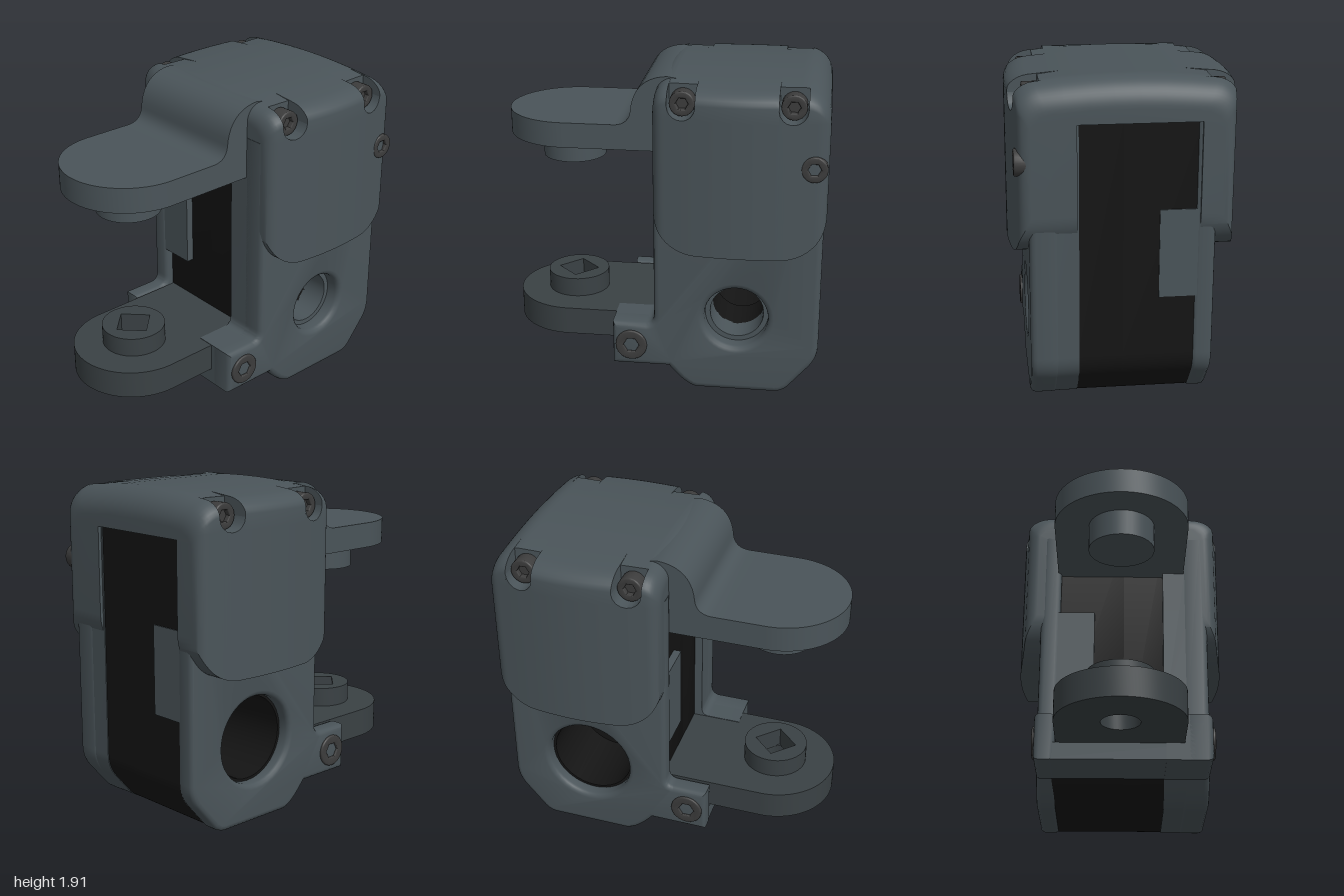
import * as THREE from 'three';
import { toCreasedNormals } from 'three/addons/utils/BufferGeometryUtils.js';

const shell = new THREE.MeshStandardMaterial({ color: 0x4a5459 });
const dark = new THREE.MeshStandardMaterial({ color: 0x141414 });
const lower = new THREE.MeshStandardMaterial({ color: 0x3a4144 });
const steel = new THREE.MeshStandardMaterial({ color: 0x3c3c3c });

function circle(x, y, r, seg = 40) {
  const pts = [];
  for (let i = 0; i < seg; i++) {
    const t = (i / seg) * Math.PI * 2;
    pts.push(new THREE.Vector2(x + r * Math.cos(t), y + r * Math.sin(t)));
  }
  return pts;
}

// Side profile (z, y) extruded across x from x0 to x1
function across(shape, x0, x1, bevel = 0) {
  const g = new THREE.ExtrudeGeometry(shape, {
    depth: x1 - x0 - 2 * bevel, bevelEnabled: bevel > 0, bevelSize: bevel,
    bevelThickness: bevel, bevelOffset: -bevel, bevelSegments: 3, curveSegments: 10,
  });
  g.rotateY(-Math.PI / 2);
  g.translate(x1 - bevel, 0, 0);
  return toCreasedNormals(g, 0.6);
}

// Plan shape (x, -z) extruded upwards from y0 to y1
function upward(shape, y0, y1) {
  const g = new THREE.ExtrudeGeometry(shape, { depth: y1 - y0, bevelEnabled: false, curveSegments: 32 });
  g.rotateX(-Math.PI / 2);
  g.translate(0, y0, 0);
  return toCreasedNormals(g, 0.6);
}

function tabShape(r, zc, zBack) {
  const s = new THREE.Shape();
  s.moveTo(r, -zBack);
  s.lineTo(-r, -zBack);
  s.lineTo(-r, -zc);
  s.absarc(0, -zc, r, Math.PI, Math.PI * 2, false);
  return s;
}

// Body profile; the side plates also carry the front flange
function bodyShape(holeR, flange, inset = 0) {
  const s = new THREE.Shape();
  const back = -0.89 + inset;
  s.moveTo(back, 1.7);
  s.lineTo(back, 0.32);
  s.quadraticCurveTo(back, 0.24, -0.84 + inset, 0.18);
  s.lineTo(-0.73, 0.05 + inset);
  s.quadraticCurveTo(-0.69, inset, -0.63, inset);
  s.lineTo(-0.17, inset);
  s.quadraticCurveTo(-0.1, 0.01 + inset, 0, 0.135);
  if (flange) {
    s.lineTo(0.34, 0.135);
    s.lineTo(0.34, 0.41);
    s.lineTo(0.14, 0.41);
    s.quadraticCurveTo(0.09, 0.41, 0.09, 0.47);
    s.lineTo(0.09, 1.7);
  } else {
    s.lineTo(0.04, 0.2);
    s.lineTo(0.04, 1.7);
  }
  s.holes.push(new THREE.Path(circle(-0.4, 0.48, holeR)));
  return s;
}

// Curved cap: inverted U sections lofted from back to front
const Z0 = -0.905, Z1 = 0.088, POCKETS = [-0.7, -0.08], PR = 0.08;
const drop = (d, r) => (d >= r ? 0 : r - Math.sqrt(Math.max(0, r * r - (r - d) ** 2)));

function capSection(z) {
  const dBack = z - Z0, dFront = Z1 - z, d = Math.min(dBack, dFront);
  const hw = 0.575 + 0.06 * Math.sin(Math.PI * dBack / (Z1 - Z0)) - drop(d, 0.06);
  const top = 1.91 - drop(dBack, 0.16) - drop(dFront, 0.1);
  const yb = 0.91 + drop(d, 0.25), rc = 0.11;
  const p = POCKETS.find((c) => Math.abs(z - c) < PR);
  const cut = p !== undefined;
  const level = cut ? 1.79 - Math.sqrt(PR * PR - (z - p) ** 2) : Math.min(1.715, top - rc);
  const lim = cut ? 0.46 : 9;
  const half = [[hw, yb], [hw, level], [Math.min(hw, lim), level]];
  for (let i = 0; i <= 6; i++) {
    const t = (i / 6) * Math.PI / 2;
    const x = hw - rc + rc * Math.cos(t);
    half.push([Math.min(x, lim), top - rc + rc * Math.sin(t) - 0.04 * (x / 0.6) ** 2 * Math.sin(t)]);
  }
  for (const x of [0.34, 0.2, 0.07]) half.push([x, top - 0.04 * (x / 0.6) ** 2]);
  const left = half.map(([x, y]) => [-x, y]).reverse();
  return [...half, ...left, [-0.4, yb], [-0.4, 1.67], [0.27, 1.67], [0.27, yb]];
}

function capGeometry() {
  const zs = [];
  for (let i = 0; i <= 48; i++) zs.push((Z0 + Z1) / 2 - (Z1 - Z0) / 2 * Math.cos(Math.PI * i / 48));
  for (const c of POCKETS) {
    for (let i = -4; i <= 4; i++) zs.push(c + PR * 0.999 * Math.sin(i * Math.PI / 8));
    zs.push(c - PR * 1.001, c + PR * 1.001);
  }
  zs.sort((a, b) => a - b);
  const secs = zs.map(capSection), n = secs[0].length, pos = [], idx = [];
  secs.forEach((s, k) => s.forEach(([x, y]) => pos.push(x, y, zs[k])));
  for (let k = 0; k < zs.length - 1; k++) {
    for (let i = 0; i < n; i++) {
      const a = k * n + i, b = k * n + (i + 1) % n;
      idx.push(a, b, b + n, a, b + n, a + n);
    }
  }
  const last = (zs.length - 1) * n;
  const ends = THREE.ShapeUtils.triangulateShape(secs[0].map(([x, y]) => new THREE.Vector2(x, y)), []);
  for (const [a, b, c] of ends) idx.push(c, b, a, last + a, last + b, last + c);
  const g = new THREE.BufferGeometry();
  g.setAttribute('position', new THREE.Float32BufferAttribute(pos, 3));
  g.setIndex(idx);
  return toCreasedNormals(g, 0.5);
}

export function createModel() {
  const model = new THREE.Group();
  const unit = new THREE.Group();
  unit.name = 'hingeUnit';
  unit.position.x = -0.08;
  const turned = new THREE.Group();
  turned.rotation.y = -Math.PI / 18;
  turned.add(unit);
  model.add(turned);

  const add = (name, geo, mat, parent = unit) => {
    const m = new THREE.Mesh(geo, mat);
    m.name = name;
    parent.add(m);
    return m;
  };
  const box = (name, x0, x1, y0, y1, z0, z1, mat) =>
    add(name, new THREE.BoxGeometry(x1 - x0, y1 - y0, z1 - z0), mat)
      .position.set((x0 + x1) / 2, (y0 + y1) / 2, (z0 + z1) / 2);

  // Housing: side plates around a dark core
  add('rightFacePlate', across(bodyShape(0.19, true), 0.36, 0.53, 0.035), shell);
  add('rightInnerPlate', across(bodyShape(0.16, true, 0.004), 0.26, 0.43), shell);
  add('leftFacePlate', across(bodyShape(0.26, true), -0.49, -0.37, 0.03), shell);
  add('coreWideBore', across(bodyShape(0.245, false, 0.008), -0.41, 0.02), dark);
  add('coreNarrowBore', across(bodyShape(0.16, false, 0.008), 0.02, 0.27), dark);
  box('frontLatch', -0.4, -0.16, 0.67, 1.18, 0, 0.085, shell);
  box('backLatch', -0.4, -0.18, 0.67, 1.18, -0.888, -0.8, shell);

  // Cap with hood and upper tab
  add('cap', capGeometry(), shell);
  const hood = new THREE.Shape();
  hood.moveTo(-0.1, 1.455);
  hood.lineTo(0.4, 1.455);
  hood.lineTo(0.4, 1.605);
  hood.lineTo(0.33, 1.605);
  hood.quadraticCurveTo(0.245, 1.61, 0.235, 1.69);
  hood.bezierCurveTo(0.225, 1.82, 0.15, 1.895, 0.02, 1.9);
  hood.lineTo(-0.1, 1.88);
  add('hood', across(hood, -0.39, 0.39), shell);
  add('upperTab', upward(tabShape(0.39, 0.634, 0.35), 1.455, 1.605), shell);
  add('upperBoss', new THREE.CylinderGeometry(0.19, 0.19, 0.16, 40), shell).position.set(0, 1.378, 0.645);

  // Front flange and lower tab with a square socket
  box('flangeBar', -0.46, 0.5, 0.137, 0.237, -0.03, 0.336, shell);
  const tab = tabShape(0.365, 0.645, 0.02);
  tab.holes.push(new THREE.Path(circle(0, -0.645, 0.11)));
  add('lowerTab', upward(tab, 0.236, 0.407), lower);
  const boss = new THREE.Shape(circle(0, -0.645, 0.19));
  boss.holes.push(new THREE.Path(circle(0, -0.645, 0.125, 4)));
  add('lowerBoss', upward(boss, 0.4, 0.525), lower);

  // Socket-head screws, centred on x
  const screw = (name, x, y, z, r) => {
    const g = new THREE.Group();
    g.name = name;
    g.position.set(x, y, z);
    const head = new THREE.Shape(circle(0, 0, r, 28));
    head.holes.push(new THREE.Path(circle(0, 0, r * 0.5, 6)));
    add('screwHead', across(head, -0.045, 0.045, 0.008), steel, g);
    add('screwCore', new THREE.CylinderGeometry(r * 0.7, r * 0.7, 0.03, 20), steel, g).rotation.z = Math.PI / 2;
    unit.add(g);
  };
  for (const side of [-1, 1]) {
    for (const z of POCKETS) screw('capScrew', side * 0.505, 1.79, z, 0.072);
    screw('flangeScrew', side > 0 ? 0.498 : -0.458, 0.272, 0.225, 0.095);
  }
  screw('sideScrew', 0.56, 1.455, -0.825, 0.075);
  return model;
}
